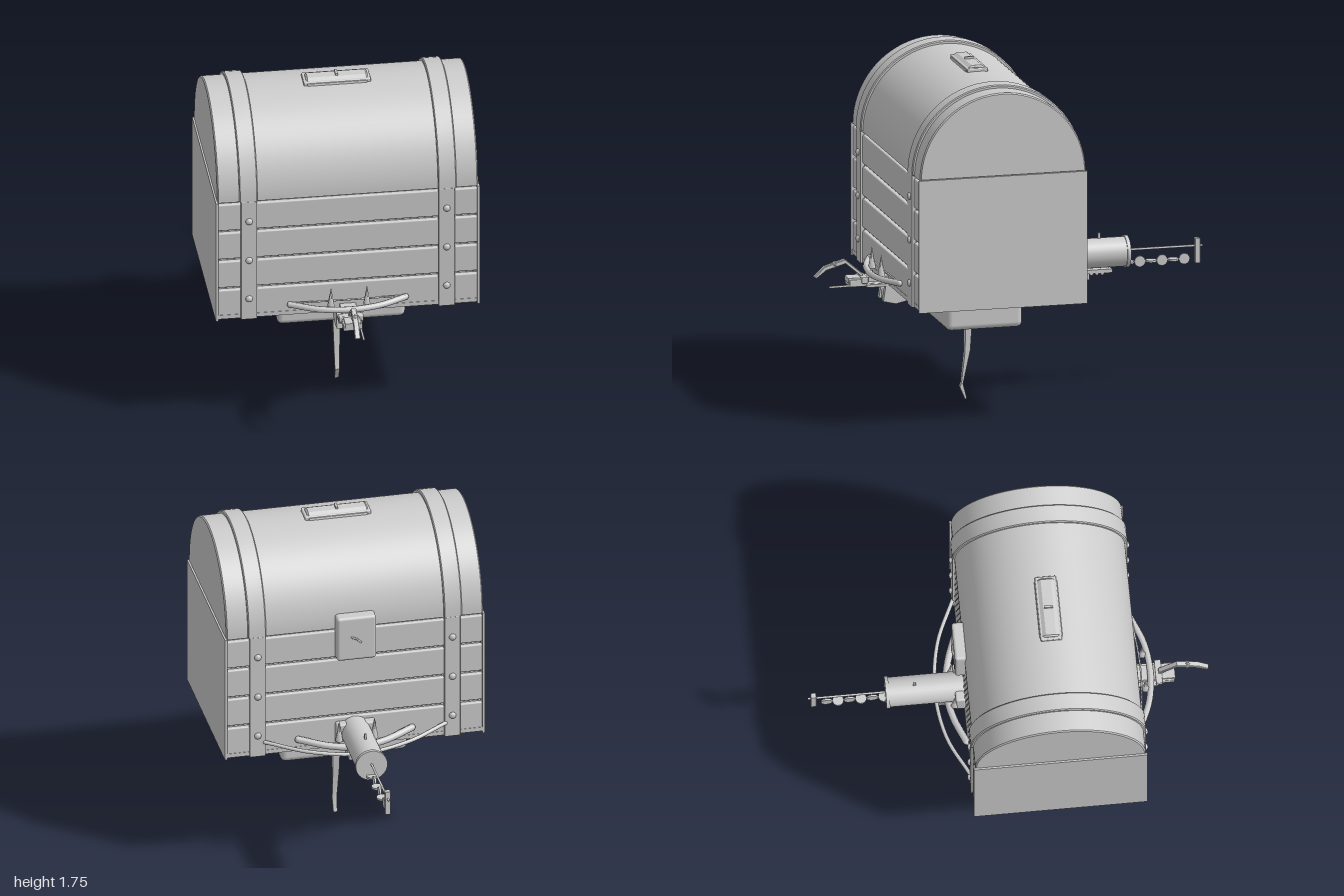
import * as THREE from 'three';
import { toCreasedNormals } from 'three/addons/utils/BufferGeometryUtils.js';
import { RoundedBoxGeometry } from 'three/addons/geometries/RoundedBoxGeometry.js';

const ZC = 0.2;      // centre of the chest in z
const SEAM = 1.285;  // height of the lid seam

export function createModel() {
  const model = new THREE.Group();
  const grey = new THREE.MeshStandardMaterial({ color: 0xcccccc });
  grey.name = 'plain grey';

  function add(name, geometry, x = 0, y = 0, z = 0, parent = model) {
    const mesh = new THREE.Mesh(geometry, grey);
    mesh.name = name;
    mesh.position.set(x, y, z);
    parent.add(mesh);
    return mesh;
  }
  // Box given by its limits
  function box(name, x0, x1, y0, y1, z0, z1, r = 0) {
    const s = [x1 - x0, y1 - y0, z1 - z0];
    const g = r ? new RoundedBoxGeometry(...s, 2, r) : new THREE.BoxGeometry(...s);
    return add(name, g, (x0 + x1) / 2, (y0 + y1) / 2, (z0 + z1) / 2);
  }
  function rod(name, points, radius, sides = 8) {
    const curve = new THREE.CatmullRomCurve3(points.map(p => new THREE.Vector3(...p)));
    add(name, new THREE.TubeGeometry(curve, 24, radius, sides), 0, 0, 0);
    // Close both ends
    for (const t of [0, 1]) {
      const cap = add(name + 'End', new THREE.SphereGeometry(radius, sides, 4));
      cap.position.copy(curve.getPoint(t));
    }
  }
  // Profile in (z, y) pushed out along x, centred on x = 0
  function slab(shape, width, segments = 12, bevel = 0) {
    const g = new THREE.ExtrudeGeometry(shape, {
      depth: width - 2 * bevel, curveSegments: segments, bevelEnabled: bevel > 0,
      bevelSize: bevel, bevelThickness: bevel, bevelOffset: -bevel, bevelSegments: 1,
    });
    g.translate(0, 0, -width / 2 + bevel).rotateY(-Math.PI / 2);
    return toCreasedNormals(g, 0.5);
  }
  const profile = pts => new THREE.Shape(pts.map(p => new THREE.Vector2(...p)));

  // Chest body: core, four planks per long side, end panels
  box('chestCore', -0.645, 0.645, 0.63, SEAM, ZC - 0.405, ZC + 0.405);
  for (let i = 0; i < 4; i++) {
    const y = 0.632 + i * 0.163;
    for (const s of [-1, 1]) {
      const z = ZC + s * 0.41;
      box('plank', -0.65, 0.65, y, y + 0.148, z - 0.015, z + 0.015, 0.007);
    }
  }
  for (const s of [-1, 1]) {
    const x = s * 0.655;
    box('endPanel', x - 0.006, x + 0.006, 0.61, SEAM, ZC - 0.433, ZC + 0.433);
    for (const t of [-1, 1]) {
      const z = ZC + t * 0.415;
      box('bottomRail', -0.65, 0.65, 0.618, 0.64, z - 0.012, z + 0.012);
    }
  }

  // Rounded lid
  const dome = new THREE.Shape();
  dome.absarc(0, 0, 0.425, 0, Math.PI);
  dome.closePath();
  add('lid', slab(dome, 1.306, 40, 0.006), 0, SEAM - 0.003, ZC);

  // Straps over the lid and down both sides, with bolts
  const hoop = new THREE.Shape();
  hoop.absarc(0, 0, 0.438, 0, Math.PI, false);
  hoop.absarc(0, 0, 0.41, Math.PI, 0, true);
  for (const s of [-1, 1]) {
    add('lidStrap', slab(hoop, 0.092, 16, 0.005), s * 0.498, SEAM, ZC);
    for (const t of [-1, 1]) {
      const z = ZC + t * 0.425, x = s * 0.495;
      box('sideStrap', x - 0.041, x + 0.041, 0.612, SEAM, z - 0.012, z + 0.012, 0.004);
      for (const y of [0.73, 0.95, 1.172]) {
        const bolt = add('bolt', new THREE.SphereGeometry(0.018, 12, 8), x, y, ZC + t * 0.437);
        bolt.scale.z = 0.75;
      }
    }
  }

  // Bevelled lid plate with a small knob
  const plate = profile([[-0.06, 0], [-0.055, 0.022], [-0.025, 0.042], [0.025, 0.042], [0.055, 0.022], [0.06, 0]]);
  add('lidPlate', slab(plate, 0.31, 4, 0.008), 0, 1.692, ZC);
  box('lidPlateLip', -0.168, 0.168, 1.695, 1.722, ZC - 0.053, ZC + 0.053, 0.006);
  box('lidKnob', -0.006, 0.006, 1.73, 1.745, ZC - 0.022, ZC + 0.022);

  // Back lock plate with its latch
  box('lockPlate', -0.1, 0.1, 1.12, 1.36, -0.275, -0.2, 0.015);
  rod('lockLatch', [[0.025, 1.25, -0.276], [0, 1.24, -0.28], [-0.02, 1.22, -0.276]], 0.005, 6);

  // Box under the chest, round foot and bent tail
  box('underBox', -0.322, 0.322, 0.425, 0.66, 0.008, 0.4, 0.03);
  box('underBoxRim', -0.3, 0.3, 0.56, 0.635, 0, 0.408);
  const foot = add('foot', new THREE.CylinderGeometry(0.148, 0.122, 0.03, 24), 0, 0.415, 0.2);
  foot.scale.z = 0.87;
  box('footTab', 0.02, 0.152, 0.398, 0.43, 0.16, 0.23);
  const tail = profile([[0.188, 0.41], [0.198, 0.25], [0.234, 0.08], [0.214, 0.005], [0.222, 0],
    [0.25, 0.065], [0.242, 0.085], [0.225, 0.24], [0.222, 0.41]]);
  const tailGeometry = slab(tail, 0.04);
  const p = tailGeometry.attributes.position;
  for (let i = 0; i < p.count; i++) p.setX(i, p.getX(i) * (0.5 + 1.2 * p.getY(i)));
  add('tail', tailGeometry);

  // Back barrel with flange
  const barrel = new THREE.CylinderGeometry(0.075, 0.075, 0.4, 28).rotateX(Math.PI / 2);
  add('barrel', barrel, 0, 0.703, -0.41);
  add('barrelFlange', new THREE.CylinderGeometry(0.081, 0.081, 0.018, 28).rotateX(Math.PI / 2), 0, 0.703, -0.604);
  box('barrelMount', -0.1, 0.1, 0.64, 0.76, -0.27, -0.22, 0.01);
  box('barrelSight', -0.005, 0.005, 0.77, 0.805, -0.475, -0.46);

  // Plunger rod, its grip and the chain
  rod('plungerRod', [[0, 0.71, -0.6], [0, 0.71, -0.8], [0, 0.71, -0.995]], 0.006);
  box('plungerGrip', -0.014, 0.014, 0.622, 0.75, -0.985, -0.957, 0.004);
  rod('chainCore', [[0, 0.647, -0.6], [0, 0.647, -0.75], [0, 0.647, -0.92]], 0.004, 6);
  for (let i = 0; i < 6; i++) {
    const link = add('chainLink', new THREE.CylinderGeometry(0.028, 0.028, 0.01, 14), 0, 0.647, -0.62 - i * 0.057);
    if (i % 2) link.rotation.z = Math.PI / 2;
  }

  // Toothed rack below the barrel
  box('rack', -0.022, 0.022, 0.603, 0.622, -0.53, -0.02);
  for (let i = 0; i < 16; i++) {
    const tooth = add('rackTooth', new THREE.CylinderGeometry(0.009, 0.009, 0.04, 6), 0, 0.602, -0.06 - i * 0.028);
    tooth.rotation.z = Math.PI / 2;
  }
  box('rackStop', -0.012, 0.012, 0.57, 0.615, -0.415, -0.4);

  // Back bows
  rod('backOuterBow', [[-0.46, 0.69, -0.235], [-0.25, 0.66, -0.33], [0, 0.64, -0.365], [0.25, 0.66, -0.33], [0.46, 0.69, -0.235]], 0.01);
  rod('backInnerBow', [[-0.29, 0.685, -0.235], [-0.14, 0.66, -0.29], [0, 0.65, -0.31], [0.14, 0.66, -0.29], [0.29, 0.685, -0.235]], 0.018);
  box('backBracket', -0.06, 0.06, 0.612, 0.64, -0.37, -0.2);

  // Front bow
  rod('frontBow', [[-0.29, 0.68, 0.635], [-0.15, 0.673, 0.69], [0, 0.67, 0.708], [0.15, 0.673, 0.69], [0.29, 0.68, 0.635]], 0.016);
  rod('frontBowString', [[-0.29, 0.69, 0.64], [0, 0.7, 0.66], [0.29, 0.69, 0.64]], 0.005, 6);

  // Spikes beside both bows
  for (const s of [-1, 1]) {
    for (const z of [0.675, -0.275]) {
      add('bowSpike', new THREE.ConeGeometry(0.02, 0.11, 6), s * 0.09, 0.73, z);
    }
  }

  // Front crank block, underside bracket and pins
  box('crankBase', -0.04, 0.04, 0.635, 0.66, 0.6, 0.83);
  box('crankCrossbar', -0.062, 0.062, 0.632, 0.665, 0.732, 0.765, 0.005);
  box('crankBlock', -0.048, 0.048, 0.615, 0.65, 0.74, 0.825, 0.005);
  box('frontPlate', -0.06, 0.06, 0.612, 0.626, 0.6, 0.74);
  for (const s of [-1, 1]) {
    const jaw = profile([[0.64, 0.63], [0.655, 0.535], [0.59, 0.52], [0.46, 0.55], [0.4, 0.535], [0.4, 0.63]]);
    add('underBracket', slab(jaw, 0.03), s * 0.043);
  }
  box('underBracketBar', -0.03, 0.03, 0.525, 0.58, 0.56, 0.645, 0.008);
  rod('sidePin', [[0.04, 0.622, 0.62], [0.04, 0.622, 0.78], [0.04, 0.62, 0.925]], 0.006, 6);

  // Bent crank handle
  const crank = profile([[0.745, 0.65], [0.838, 0.728], [0.935, 0.7], [0.988, 0.66], [0.998, 0.67],
    [0.945, 0.72], [0.84, 0.752], [0.75, 0.675]]);
  add('crankHandle', slab(crank, 0.028, 4, 0.003));
  add('crankKnob', new THREE.OctahedronGeometry(0.022), 0, 0.725, 0.892);

  return model;
}
